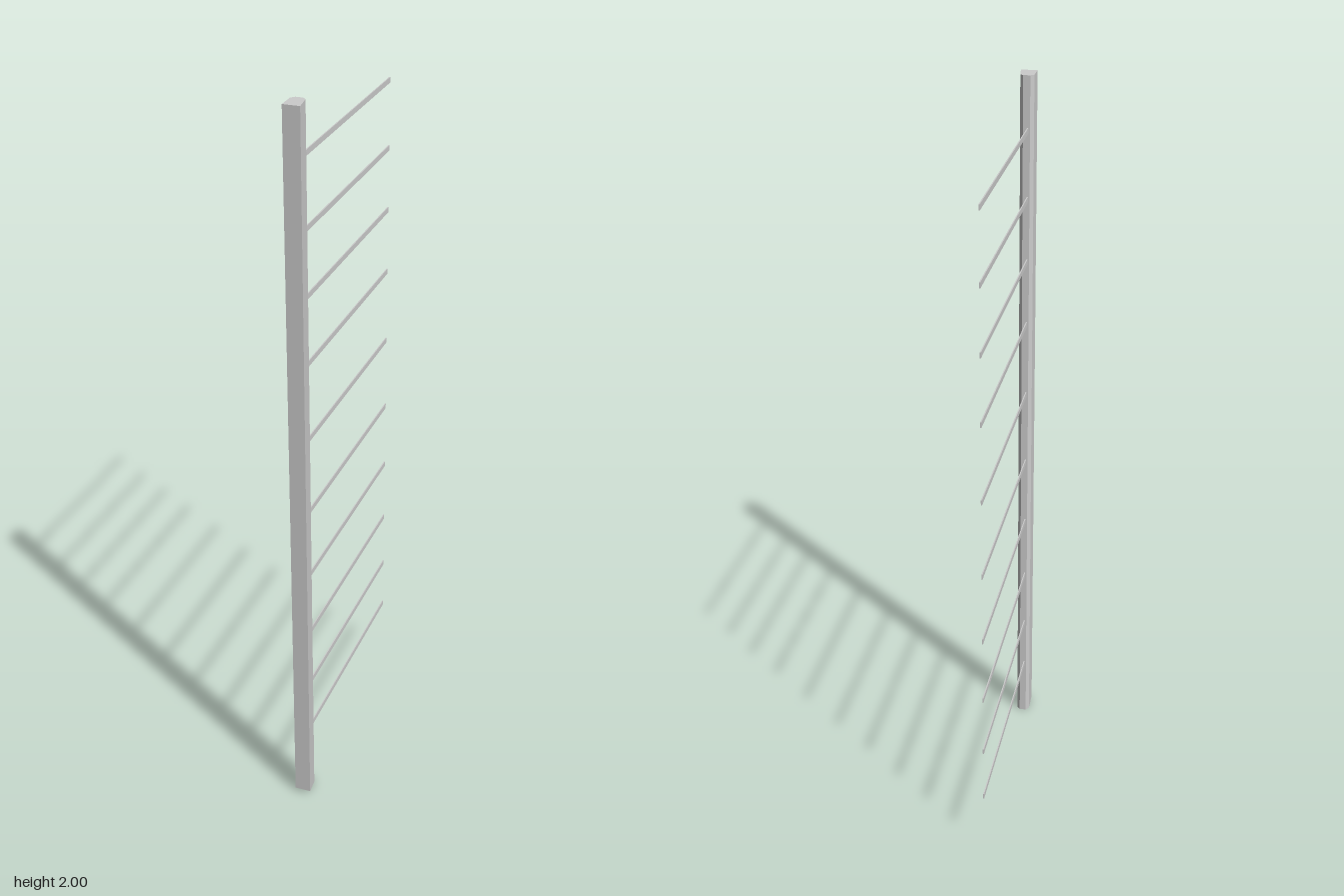
import * as THREE from 'three';

export function createModel() {
  const model = new THREE.Group();
  const material = new THREE.MeshStandardMaterial({ color: 0xcccccc, flatShading: true });
  const backZ = 0.297, frontZ = 0.357;

  // Upright: tapered section with chamfered back corners, as [x, z]
  const section = [
    [-0.022, frontZ], [0.022, frontZ], [0.015, 0.306],
    [0.006, backZ], [-0.013, backZ], [-0.022, 0.307],
  ];
  const shape = new THREE.Shape(section.map(([x, z]) => new THREE.Vector2(x, -z)));
  const geometry = new THREE.ExtrudeGeometry(shape, { depth: 2, bevelEnabled: false });
  geometry.rotateX(-Math.PI / 2);

  // Cut the foot at a slight slant, lowest at the back
  const pos = geometry.attributes.position;
  for (let i = 0; i < pos.count; i++) {
    if (pos.getY(i) < 1) {
      pos.setY(i, 0.011 * (pos.getZ(i) - backZ) / (frontZ - backZ));
    }
  }
  geometry.computeVertexNormals();
  const upright = new THREE.Mesh(geometry, material);
  upright.name = 'upright';
  model.add(upright);

  // Thin flat tines reaching back from the upright
  const tines = new THREE.Group();
  tines.name = 'tines';
  const heights = [0.176, 0.328, 0.497, 0.683, 0.88, 1.095, 1.309, 1.492, 1.668, 1.855];
  const start = backZ + 0.003, end = -0.357;
  const tineGeometry = new THREE.BoxGeometry(0.003, 0.015, start - end);
  heights.forEach((y, i) => {
    const tine = new THREE.Mesh(tineGeometry, material);
    tine.name = `tine${i + 1}`;
    tine.position.set(-0.007, y, (start + end) / 2);
    tines.add(tine);
  });
  model.add(tines);

  return model;
}
